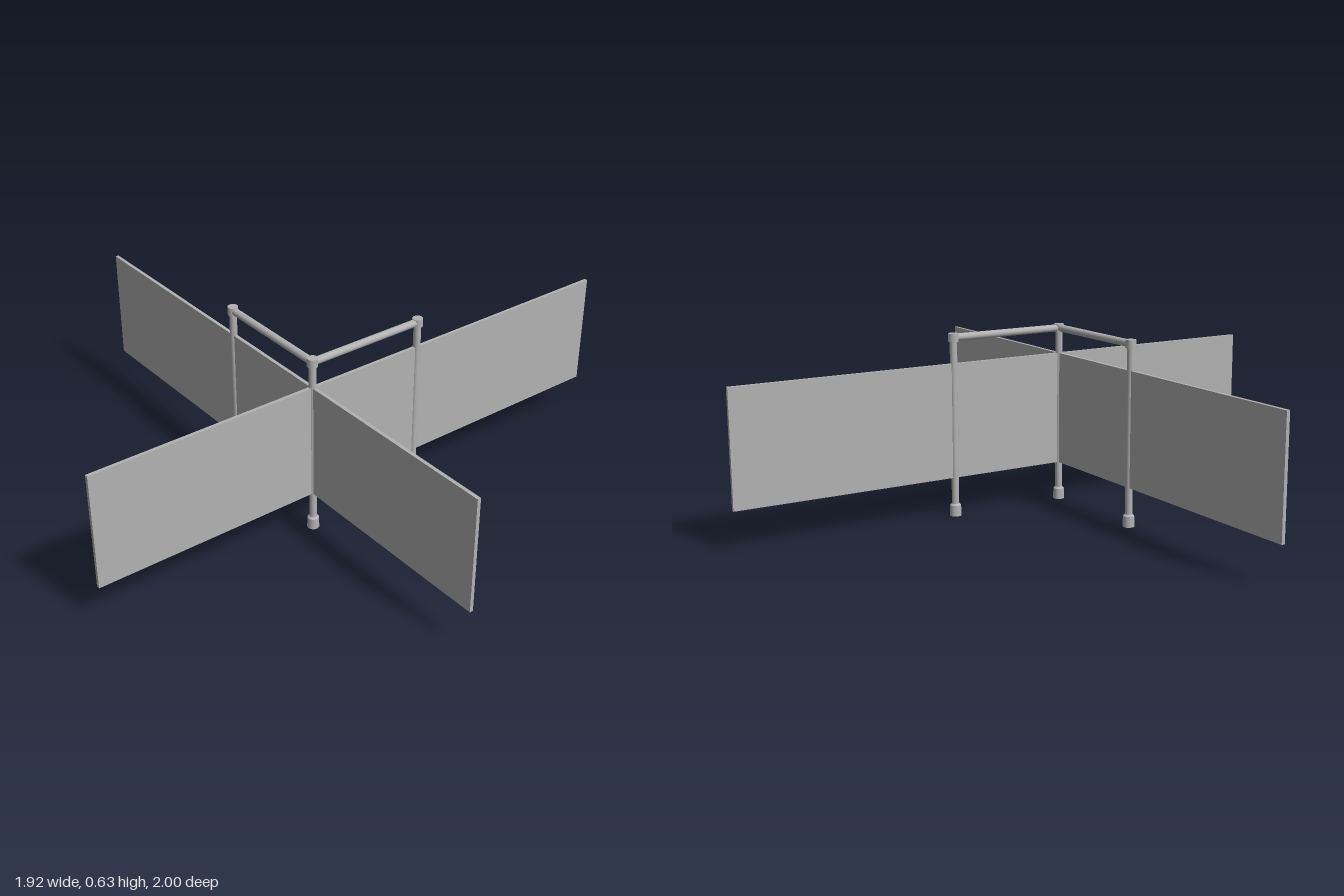
import * as THREE from 'three';

export function createModel() {
  const group = new THREE.Group();
  const grey = new THREE.MeshStandardMaterial({ color: 0xb2b2b2 });
  grey.name = 'grey metal';

  const add = (name, geometry, x, y, z) => {
    const mesh = new THREE.Mesh(geometry, grey);
    mesh.name = name;
    mesh.position.set(x, y, z);
    group.add(mesh);
    return mesh;
  };

  const NEAR = 0.212, FAR = -0.21, CORNER_X = 0.217, RAIL_Y = 0.616;

  // Two long panels crossing at the corner post
  add('widePanel', new THREE.BoxGeometry(1.924, 0.394, 0.012), 0, 0.331, NEAR);
  add('deepPanel', new THREE.BoxGeometry(0.012, 0.394, 2), CORNER_X, 0.331, 0);

  // Posts with a sleeve foot and a short joint collar on top
  const post = new THREE.CylinderGeometry(0.0125, 0.0125, 0.6, 24);
  const foot = new THREE.LatheGeometry([
    [0, 0], [0.02, 0], [0.02, 0], [0.019, 0.037], [0.019, 0.037], [0.0125, 0.043],
  ].map(([r, y]) => new THREE.Vector2(r, y)), 24);
  const joint = new THREE.CylinderGeometry(0.0175, 0.0175, 0.028, 24);
  for (const [x, z] of [[-0.21, NEAR], [CORNER_X, NEAR], [CORNER_X, FAR]]) {
    add('post', post, x, 0.31, z);
    add('foot', foot, x, 0, z);
    add('joint', joint, x, RAIL_Y, z);
  }

  // Top rails joining the posts in an L
  const rail = (length) => new THREE.CylinderGeometry(0.0125, 0.0125, length, 24);
  add('wideRail', rail(CORNER_X + 0.21), (CORNER_X - 0.21) / 2, RAIL_Y, NEAR).rotation.z = Math.PI / 2;
  add('deepRail', rail(NEAR - FAR), CORNER_X, RAIL_Y, (NEAR + FAR) / 2).rotation.x = Math.PI / 2;

  return group;
}
